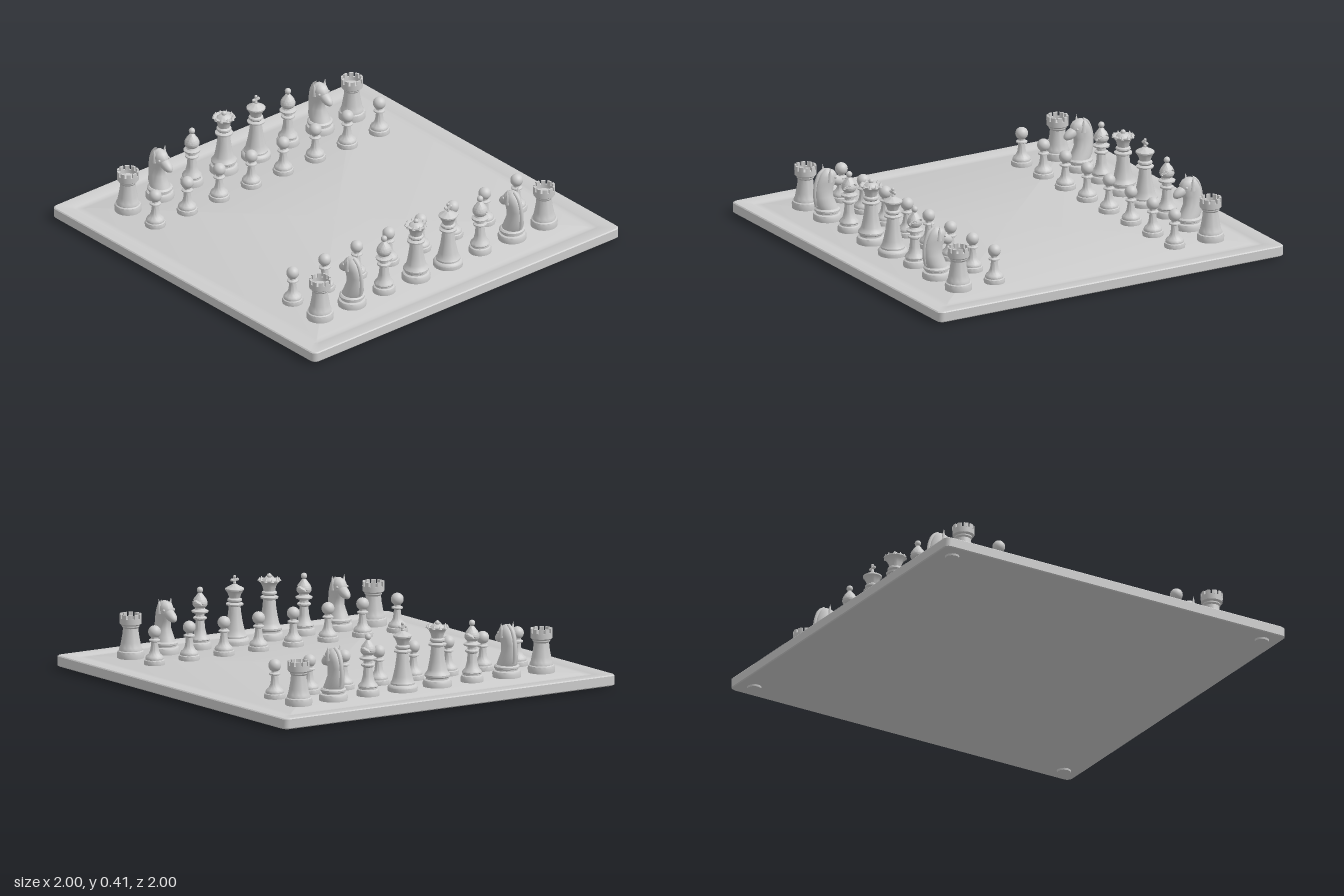
import * as THREE from 'three';
import { toCreasedNormals } from 'three/addons/utils/BufferGeometryUtils.js';

const BOARD_TOP = 0.065;
const grey = new THREE.MeshStandardMaterial({ color: 0xcccccc });
grey.name = 'light grey';

function add(parent, name, geometry, x = 0, y = 0, z = 0) {
  const m = new THREE.Mesh(geometry, grey);
  m.name = name;
  m.position.set(x, y, z);
  parent.add(m);
  return m;
}

// Turned part from [radius, height] pairs, bottom to top
function turned(points, segments = 32) {
  const g = new THREE.LatheGeometry(points.map(p => new THREE.Vector2(p[0], p[1])), segments);
  return toCreasedNormals(g, 0.6);
}

// Skin over closed rings of points stacked upward, with end caps
function loft(rings, crease) {
  const n = rings[0].length, pos = [], idx = [];
  const push = p => pos.push(p.x, p.y, p.z);
  rings.forEach(r => r.forEach(push));
  const last = rings.length - 1, base = n * rings.length;
  [rings[0], rings[last]].forEach(r =>
    push(r.reduce((s, p) => s.add(p), new THREE.Vector3()).divideScalar(n)));
  for (let j = 0; j < n; j++) {
    const k = (j + 1) % n;
    for (let i = 0; i < last; i++) {
      const a = i * n, b = a + n;
      idx.push(a + j, b + j, a + k, a + k, b + j, b + k);
    }
    idx.push(base, j, k, base + 1, last * n + k, last * n + j);
  }
  const g = new THREE.BufferGeometry();
  g.setAttribute('position', new THREE.Float32BufferAttribute(pos, 3));
  g.setIndex(idx);
  return toCreasedNormals(g, crease);
}

function roundedSquare(half, radius, y) {
  const pts = [];
  for (let c = 0; c < 4; c++) {
    const mid = (c + 0.5) * Math.PI / 2;
    const cx = Math.sign(Math.cos(mid)) * (half - radius), cz = Math.sign(Math.sin(mid)) * (half - radius);
    for (let s = 0; s <= 6; s++) {
      const a = (c + s / 6) * Math.PI / 2;
      pts.push(new THREE.Vector3(cx + radius * Math.cos(a), y, cz + radius * Math.sin(a)));
    }
  }
  return pts;
}

// Board with a shallow routed groove, on four round feet
function makeBoard() {
  const g = new THREE.Group();
  g.name = 'board';
  const rings = [[0.995, 0.03, 0.01], [1, 0.03, 0.015], [1, 0.03, 0.06], [0.995, 0.03, 0.065],
    [0.932, 0.025, 0.065], [0.922, 0.02, 0.06], [0.905, 0.015, 0.058], [0.885, 0.012, 0.06], [0.873, 0.01, 0.065]];
  add(g, 'boardSlab', loft(rings.map(r => roundedSquare(...r)), 0.5));
  for (const x of [-0.91, 0.91]) for (const z of [-0.91, 0.91])
    add(g, 'foot', new THREE.CylinderGeometry(0.036, 0.034, 0.012, 24), x, 0.006, z);
  return g;
}

// Piece heights below are measured from the board top
function pawn(g) {
  add(g, 'pawnBody', turned([[0, 0], [0.052, 0], [0.053, 0.014], [0.05, 0.022], [0.045, 0.025], [0.046, 0.033],
    [0.041, 0.043], [0.03, 0.052], [0.022, 0.07], [0.018, 0.095], [0.017, 0.113], [0.028, 0.118],
    [0.028, 0.124], [0.017, 0.13], [0.016, 0.142], [0, 0.145]]));
  add(g, 'pawnHead', new THREE.SphereGeometry(0.032, 24, 16), 0, 0.164);
}

function rook(g) {
  add(g, 'rookBody', turned([[0, 0], [0.067, 0], [0.068, 0.022], [0.064, 0.034], [0.058, 0.038], [0.058, 0.046],
    [0.053, 0.055], [0.048, 0.08], [0.041, 0.12], [0.038, 0.15], [0.044, 0.158], [0.044, 0.164], [0.054, 0.172],
    [0.055, 0.2], [0.045, 0.2], [0.045, 0.18], [0, 0.18]]));
  // Battlements
  const count = 10, step = Math.PI * 2 / count, w = step * 0.34;
  const s = new THREE.Shape();
  s.absarc(0, 0, 0.055, -w, w, false);
  s.absarc(0, 0, 0.045, w, -w, true);
  const merlon = new THREE.ExtrudeGeometry(s, { depth: 0.021, bevelEnabled: false, curveSegments: 4 });
  merlon.rotateX(-Math.PI / 2);
  for (let i = 0; i < count; i++)
    add(g, 'rookMerlon', merlon, 0, 0.2, 0).rotation.y = (i + 0.5) * step;
}

function knight(g) {
  add(g, 'knightBase', turned([[0, 0], [0.071, 0], [0.072, 0.02], [0.067, 0.031], [0.057, 0.035],
    [0.057, 0.042], [0.064, 0.046], [0.064, 0.055], [0.055, 0.062], [0, 0.064]]));
  // Chest, neck and skull: height, z centre, half depth, half width
  const sections = [[0.06, 0, 0.056, 0.05], [0.085, -0.012, 0.056, 0.046], [0.125, -0.022, 0.05, 0.037],
    [0.165, -0.02, 0.052, 0.032], [0.2, -0.008, 0.057, 0.036], [0.23, 0, 0.05, 0.037],
    [0.25, 0, 0.036, 0.03], [0.262, -0.004, 0.016, 0.014]];
  add(g, 'knightNeck', loft(sections.map(([y, zc, hz, hx]) => Array.from({ length: 24 }, (_, i) => {
    const a = i / 24 * Math.PI * 2;
    return new THREE.Vector3(hx * Math.cos(a), y, zc + hz * Math.sin(a));
  })), 0.9));
  const muzzle = add(g, 'knightMuzzle', new THREE.SphereGeometry(1, 24, 16), 0, 0.197, 0.044);
  muzzle.scale.set(0.026, 0.026, 0.05);
  muzzle.rotation.x = 0.5;
  // Mane along the nape
  const nape = [[0.075, -0.062], [0.12, -0.07], [0.165, -0.07], [0.205, -0.062], [0.24, -0.045], [0.262, -0.015]];
  const curve = new THREE.CatmullRomCurve3(nape.map(p => new THREE.Vector3(0, p[0], p[1])));
  add(g, 'knightMane', new THREE.TubeGeometry(curve, 24, 0.01, 8));
  for (const s of [-1, 1]) {
    const ear = add(g, 'knightEar', new THREE.ConeGeometry(0.016, 0.075, 12), s * 0.033, 0.24, -0.004);
    ear.rotation.z = -s * 0.12;
    add(g, 'knightEye', new THREE.SphereGeometry(0.007, 10, 8), s * 0.03, 0.22, 0.03);
  }
}

function bishop(g) {
  add(g, 'bishopBody', turned([[0, 0], [0.057, 0], [0.058, 0.018], [0.053, 0.03], [0.046, 0.034], [0.046, 0.042],
    [0.05, 0.047], [0.046, 0.055], [0.034, 0.068], [0.026, 0.1], [0.022, 0.142], [0.034, 0.15], [0.034, 0.157],
    [0.023, 0.163], [0.023, 0.175], [0.041, 0.182], [0.042, 0.19], [0.028, 0.197], [0.024, 0.205], [0, 0.207]]));
  // Mitre with a slanted cut pressed into one side
  const profile = new THREE.SplineCurve([[0.02, 0.2], [0.033, 0.213], [0.038, 0.228], [0.032, 0.248],
    [0.018, 0.268], [0.009, 0.28]].map(p => new THREE.Vector2(...p)));
  const mitre = new THREE.LatheGeometry(profile.getPoints(40), 40);
  const p = mitre.attributes.position;
  for (let i = 0; i < p.count; i++) {
    const x = p.getX(i), y = p.getY(i);
    if (x > 0.008 && Math.abs((y - 0.235) * 0.75 - (x - 0.022) * 0.66) < 0.003) {
      p.setX(i, 0.008);
      p.setZ(i, p.getZ(i) * 0.8);
    }
  }
  add(g, 'bishopMitre', toCreasedNormals(mitre, 0.6));
  add(g, 'bishopFinial', new THREE.SphereGeometry(0.016, 16, 12), 0, 0.294);
}

function queen(g) {
  add(g, 'queenBody', turned([[0, 0], [0.072, 0], [0.073, 0.02], [0.067, 0.032], [0.057, 0.037], [0.057, 0.045],
    [0.064, 0.051], [0.064, 0.06], [0.054, 0.072], [0.048, 0.085], [0.04, 0.125], [0.034, 0.165], [0.031, 0.2],
    [0.044, 0.206], [0.045, 0.214], [0.03, 0.221], [0.038, 0.23], [0.037, 0.238], [0.029, 0.244], [0.034, 0.265],
    [0.043, 0.283], [0.055, 0.294], [0.056, 0.3], [0.045, 0.3], [0.036, 0.297], [0.026, 0.308], [0, 0.316]]));
  // Coronet points
  for (let i = 0; i < 10; i++) {
    const a = i / 10 * Math.PI * 2;
    add(g, 'queenCrownPoint', new THREE.ConeGeometry(0.011, 0.02, 8), 0.049 * Math.cos(a), 0.303, 0.049 * Math.sin(a));
  }
  add(g, 'queenFinial', new THREE.SphereGeometry(0.013, 16, 12), 0, 0.318);
}

function king(g) {
  add(g, 'kingBody', turned([[0, 0], [0.074, 0], [0.075, 0.02], [0.069, 0.03], [0.061, 0.034], [0.061, 0.042],
    [0.054, 0.052], [0.048, 0.075], [0.039, 0.115], [0.033, 0.155], [0.029, 0.19], [0.043, 0.196], [0.044, 0.203],
    [0.03, 0.21], [0.037, 0.218], [0.036, 0.226], [0.027, 0.232], [0.033, 0.25], [0.043, 0.268], [0.047, 0.272],
    [0.047, 0.279], [0.036, 0.286], [0.02, 0.294], [0.012, 0.3], [0, 0.301]]));
  // Cross with rounded arm ends
  add(g, 'kingCrossPost', new THREE.BoxGeometry(0.011, 0.044, 0.01), 0, 0.317);
  add(g, 'kingCrossBar', new THREE.BoxGeometry(0.036, 0.011, 0.01), 0, 0.322);
  for (const [x, y] of [[-0.017, 0.322], [0.017, 0.322], [0, 0.338], [0, 0.305]])
    add(g, 'kingCrossTip', new THREE.SphereGeometry(0.008, 12, 8), x, y);
}

export function createModel() {
  const model = new THREE.Group();
  model.name = 'chessSet';
  model.add(makeBoard());
  const place = (name, build, x, z) => {
    const g = new THREE.Group();
    g.name = name;
    build(g);
    g.position.set(x, BOARD_TOP, z);
    if (build === knight && z > 0) g.rotation.y = Math.PI;
    model.add(g);
  };
  const rank = [rook, knight, bishop, queen, king, bishop, knight, rook];
  for (const side of [-1, 1]) rank.forEach((build, i) => {
    const x = (i - 3.5) * 0.209;
    place(build.name, build, x, side * 0.73);
    place('pawn', pawn, x, side * 0.522);
  });
  return model;
}
